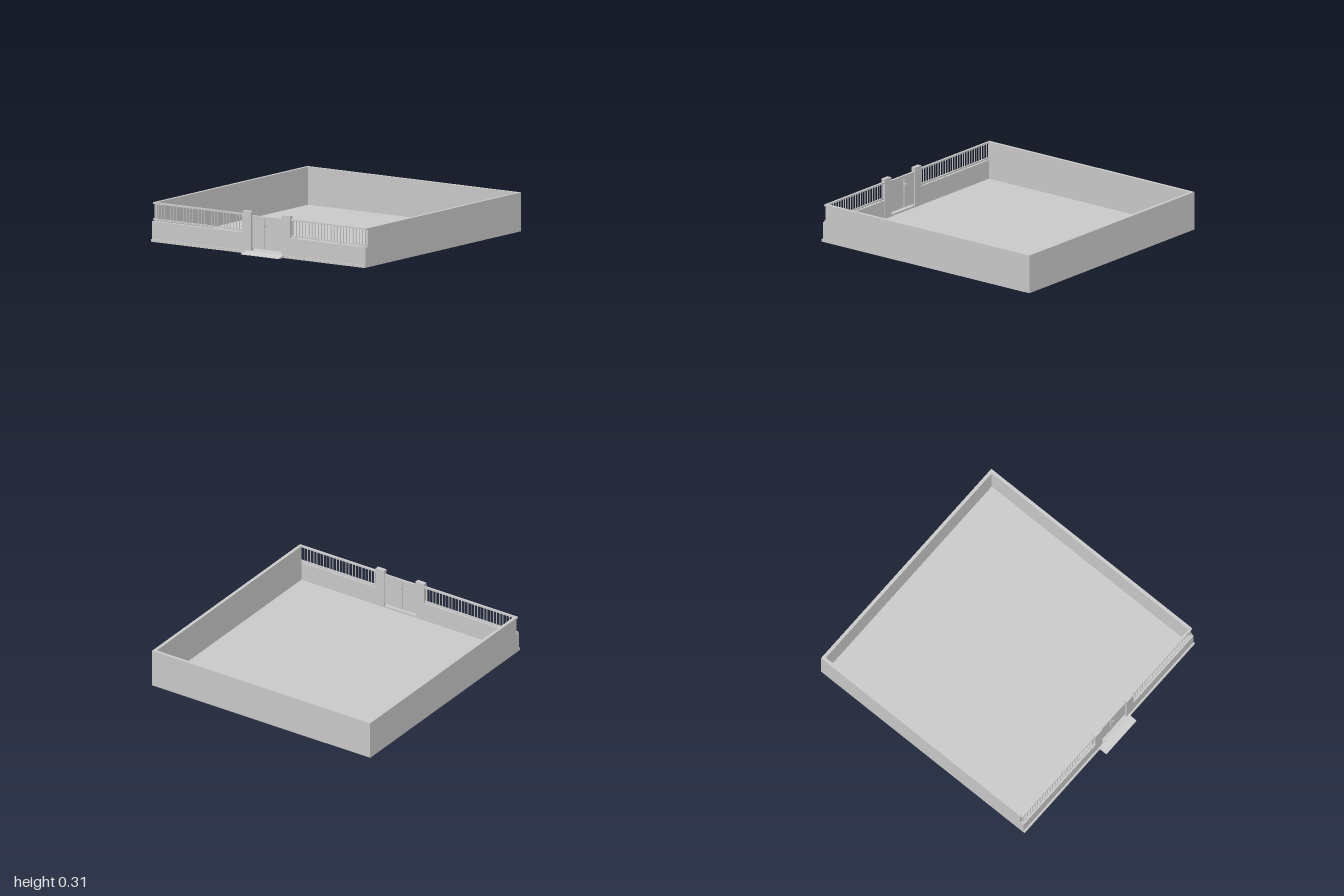
import * as THREE from 'three';

const material = new THREE.MeshStandardMaterial({ color: 0xcccccc, flatShading: true });

// Box given by its extents along each axis
function block(parent, name, [x0, x1], [y0, y1], [z0, z1]) {
  const mesh = new THREE.Mesh(new THREE.BoxGeometry(x1 - x0, y1 - y0, z1 - z0), material);
  mesh.position.set((x0 + x1) / 2, (y0 + y1) / 2, (z0 + z1) / 2);
  mesh.name = name;
  parent.add(mesh);
  return mesh;
}

// Railing with two rails, balusters, end posts and small feet
function railing(x0, x1, name) {
  const group = new THREE.Group();
  group.name = name;
  block(group, 'topRail', [x0, x1], [0.276, 0.288], [0.899, 0.916]);
  block(group, 'bottomRail', [x0, x1], [0.157, 0.168], [0.901, 0.914]);
  const count = Math.round((x1 - x0) / 0.029);
  for (let i = 0; i <= count; i++) {
    const end = i === 0 || i === count;
    const w = end ? 0.008 : 0.0035;
    const x = THREE.MathUtils.lerp(x0 + 0.015, x1 - 0.015, i / count);
    block(group, end ? 'endPost' : 'baluster', [x - w / 2, x + w / 2], [0.165, 0.278], [0.9045, 0.9105]);
  }
  for (const t of [0.05, 0.35, 0.65, 0.95]) {
    const x = THREE.MathUtils.lerp(x0, x1, t);
    block(group, 'foot', [x - 0.006, x + 0.006], [0.148, 0.158], [0.903, 0.912]);
  }
  return group;
}

// Double gate: framed leaves with handles on both faces
function gate() {
  const group = new THREE.Group();
  group.name = 'gate';
  block(group, 'headRail', [-0.07, 0.205], [0.266, 0.281], [0.897, 0.915]);
  block(group, 'threshold', [-0.07, 0.205], [0.005, 0.022], [0.897, 0.928]);
  for (const [x0, x1, stile] of [[-0.07, 0.0405, 0.0355], [0.0445, 0.205, 0.0495]]) {
    block(group, 'leafPanel', [x0, x1], [0.038, 0.267], [0.902, 0.91]);
    block(group, 'meetingStile', [stile - 0.005, stile + 0.005], [0.038, 0.267], [0.899, 0.913]);
  }
  block(group, 'gapCover', [0.0395, 0.0455], [0.038, 0.267], [0.902, 0.906]);
  for (const [z0, z1, grip] of [[0.91, 0.922, 0.92], [0.885, 0.902, 0.885]]) {
    for (const s of [-1, 1]) {
      const x = 0.046 + s * 0.008;
      block(group, 'handleStem', [x - 0.003, x + 0.003], [0.205, 0.221], [z0, z1]);
      const end = x + s * 0.02;
      block(group, 'handleGrip', [Math.min(x, end), Math.max(x, end)], [0.212, 0.217], [grip, grip + 0.004]);
    }
  }
  return group;
}

// Wedge rising from the street to the curb
function ramp() {
  const shape = new THREE.Shape();
  shape.moveTo(-1, 0);
  shape.lineTo(-1, 0.004);
  shape.lineTo(-0.935, 0.021);
  shape.lineTo(-0.925, 0.021);
  shape.lineTo(-0.925, 0);
  const geometry = new THREE.ExtrudeGeometry(shape, { depth: 0.34, bevelEnabled: false });
  geometry.rotateY(Math.PI / 2).translate(-0.11, 0, 0);
  const mesh = new THREE.Mesh(geometry, material);
  mesh.name = 'ramp';
  return mesh;
}

export function createModel() {
  const model = new THREE.Group();
  model.name = 'walledYard';
  const W = 0.96, T = 0.025, H = 0.288;

  // Ground and curb
  block(model, 'ground', [-W, W], [0, 0.008], [-1, 0.928]);
  block(model, 'curb', [-W, W], [0, 0.018], [0.926, 0.94]);

  // Full-height walls at the back and sides
  block(model, 'backWall', [-W, W], [0.004, H], [-1, -1 + T]);
  for (const [name, s] of [['leftWall', 1], ['rightWall', -1]]) {
    const x = s * (W - T / 2);
    block(model, name, [x - T / 2, x + T / 2], [0.004, H], [-1 + T, 0.897]);
  }

  // Low front walls, railings and gate pillars
  block(model, 'rightFrontWall', [-W, -0.145], [0.004, 0.15], [0.897, 0.927]);
  block(model, 'leftFrontWall', [0.28, W], [0.004, 0.15], [0.897, 0.927]);
  model.add(railing(-W, -0.145, 'rightRailing'), railing(0.28, W, 'leftRailing'));
  block(model, 'rightPillar', [-0.145, -0.07], [0.004, 0.311], [0.895, 0.928]);
  block(model, 'leftPillar', [0.205, 0.28], [0.004, 0.311], [0.895, 0.928]);

  model.add(gate(), ramp());
  return model;
}
